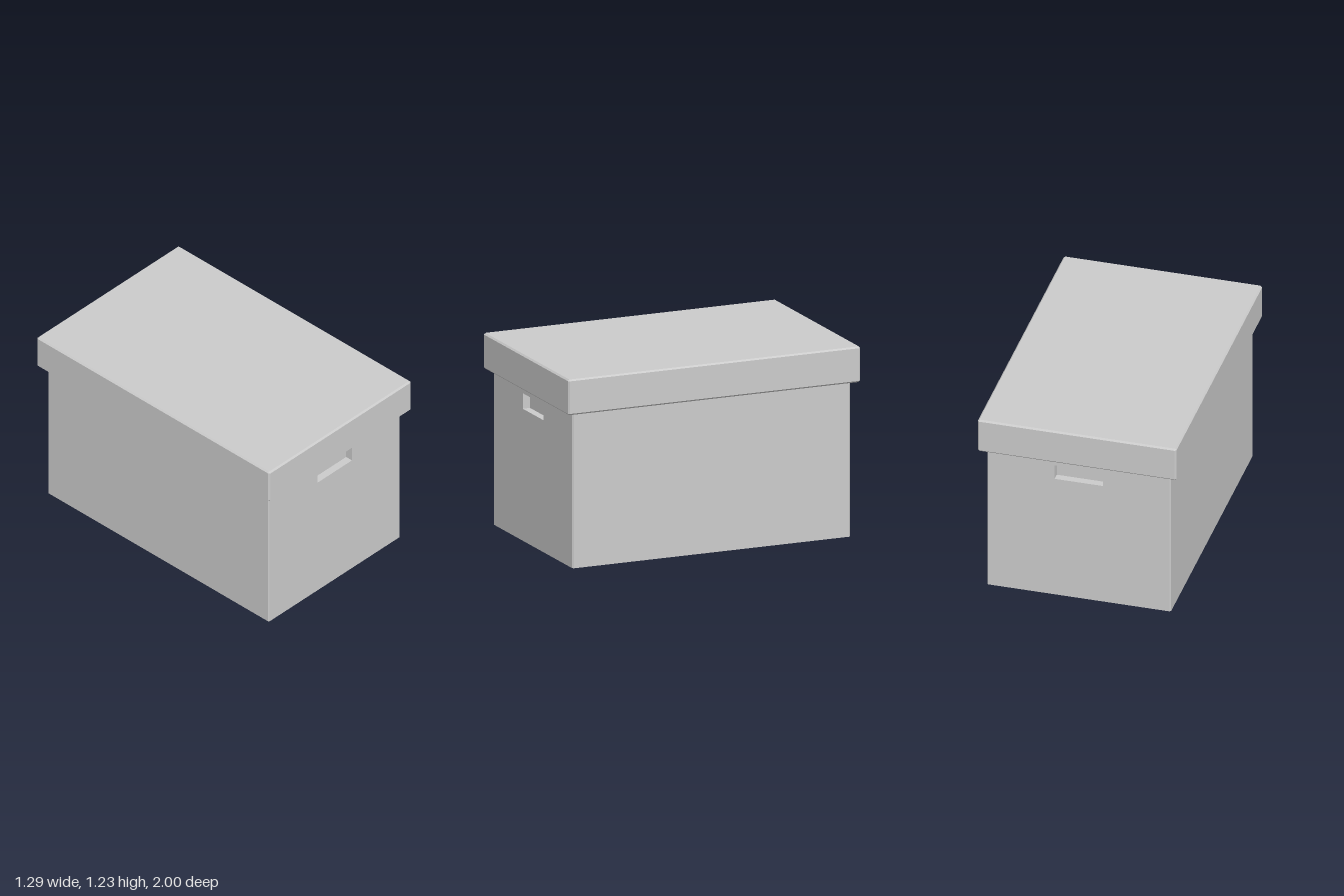
import * as THREE from 'three';

const material = new THREE.MeshStandardMaterial({ color: 0xcccccc });
const openMaterial = new THREE.MeshStandardMaterial({ color: 0xcccccc, side: THREE.DoubleSide });

// Body half width, half length, height and corner chamfer
const W = 0.595, L = 0.95, H = 1.0, C = 0.008;

function addMesh(parent, name, geometry, mat = material) {
  const mesh = new THREE.Mesh(geometry, mat);
  mesh.name = name;
  parent.add(mesh);
  return mesh;
}

// Rectangle with its corners cut off
function chamferedRect(w, l, c) {
  return new THREE.Shape([
    [w, -l + c], [w, l - c], [w - c, l], [-w + c, l],
    [-w, l - c], [-w, -l + c], [-w + c, -l], [w - c, -l],
  ].map(([x, y]) => new THREE.Vector2(x, y)));
}

// End wall with a recessed hand hold, facing +z
function createEnd(name) {
  const end = new THREE.Group();
  end.name = name;
  const hw = 0.157, y0 = 0.85, y1 = 0.95, depth = 0.05;

  const wall = new THREE.Shape();
  wall.moveTo(-W + C, 0).lineTo(W - C, 0).lineTo(W - C, H).lineTo(-W + C, H).closePath();
  const hole = new THREE.Path();
  hole.moveTo(-hw, y0).lineTo(-hw, y1).lineTo(hw, y1).lineTo(hw, y0).closePath();
  wall.holes.push(hole);
  addMesh(end, 'endWall', new THREE.ShapeGeometry(wall).translate(0, 0, L));

  // Recess: a box with its front face left out
  const box = new THREE.BoxGeometry(2 * hw, y1 - y0, depth);
  const index = Array.from(box.index.array);
  index.splice(24, 6);
  box.setIndex(index);
  box.clearGroups();
  box.translate(0, (y0 + y1) / 2, L - depth / 2);
  addMesh(end, 'handleRecess', box, openMaterial);
  return end;
}

export function createModel() {
  const model = new THREE.Group();
  model.name = 'storageBox';

  const body = new THREE.Group();
  body.name = 'body';
  model.add(body);

  // Front and back with hand holds
  const back = createEnd('back');
  back.rotation.y = Math.PI;
  body.add(createEnd('front'), back);

  // Long side walls and the narrow chamfers at the corners
  for (const sx of [1, -1]) {
    const side = addMesh(body, sx > 0 ? 'leftWall' : 'rightWall',
      new THREE.PlaneGeometry(2 * (L - C), H));
    side.rotation.y = sx * Math.PI / 2;
    side.position.set(sx * W, H / 2, 0);
    for (const sz of [1, -1]) {
      const corner = addMesh(body, 'cornerChamfer', new THREE.PlaneGeometry(C * Math.SQRT2, H));
      corner.rotation.y = Math.atan2(sx, sz);
      corner.position.set(sx * (W - C / 2), H / 2, sz * (L - C / 2));
    }
  }

  // Floor, facing down
  addMesh(body, 'floor', new THREE.ShapeGeometry(chamferedRect(W, L, C)).rotateX(Math.PI / 2));

  // Lid with small bevels on every edge
  const bevel = 0.01, lidHeight = 0.23;
  const lid = new THREE.ExtrudeGeometry(chamferedRect(0.643, 1, bevel), {
    depth: lidHeight - 2 * bevel,
    bevelEnabled: true, bevelSegments: 1,
    bevelThickness: bevel, bevelSize: bevel, bevelOffset: -bevel,
  });
  lid.rotateX(-Math.PI / 2).translate(0, H + bevel, 0);
  addMesh(model, 'lid', lid);

  return model;
}
